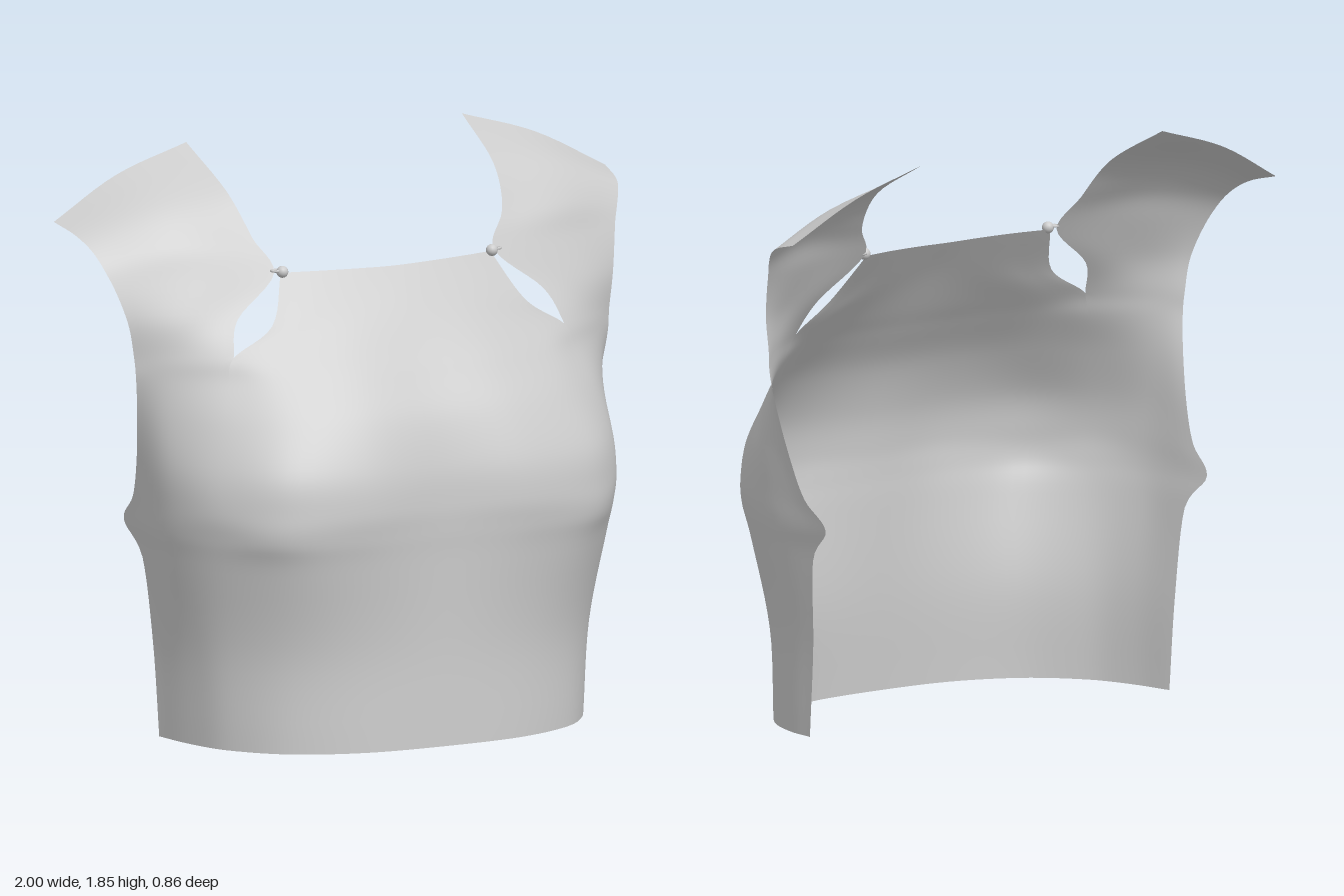
import * as THREE from 'three';
import { mergeGeometries, mergeVertices } from 'three/addons/utils/BufferGeometryUtils.js';

const V = (x, y, z) => new THREE.Vector3(x, y, z);
const STEPS = 6; // subdivisions between neighbouring rows or columns

// Torso half-sections: height, then x,z pairs from the centre to the side edge
const BODY = [
  [0.00, 0, .40, .28, .38, .50, .29, .63, .15, .695, 0, .715, -.12],
  [0.30, 0, .39, .28, .375, .50, .295, .65, .15, .715, 0, .735, -.16],
  [0.58, 0, .395, .28, .405, .52, .35, .69, .19, .765, 0, .77, -.20],
  [0.69, 0, .40, .30, .42, .55, .37, .70, .22, .785, .01, .79, -.285],
  [0.78, 0, .40, .30, .425, .55, .37, .71, .22, .79, .03, .805, -.20],
  [0.90, 0, .385, .30, .405, .55, .345, .71, .19, .795, .02, .82, -.15],
  [1.05, 0, .335, .28, .34, .50, .28, .67, .15, .785, 0, .84, -.11],
  [1.17, 0, .26, .26, .26, .48, .20, .63, .105, .77, -.01, .855, -.09],
  [1.25, 0, .205, .25, .20, .46, .145, .60, .085, .76, -.015, .862, -.092],
];

// Neckline rows between the keyholes (x, y, z from the centre outward)
const NECK = [
  [[0, 1.37, .125], [.18, 1.365, .12], [.33, 1.355, .105], [.46, 1.34, .085]],
  [[0, 1.485, .04], [.13, 1.487, .035], [.26, 1.489, .02], [.38, 1.49, -.003]],
];

// Shoulder strap rows (x, y, z from the neck side to the armhole side)
const STRAP = [
  [[.555, 1.36, .03], [.73, 1.36, -.025], [.88, 1.36, -.10]],
  [[.40, 1.49, -.01], [.66, 1.50, -.065], [.912, 1.48, -.145]],
  [[.455, 1.60, -.085], [.70, 1.60, -.125], [.945, 1.56, -.20]],
  [[.485, 1.73, -.20], [.73, 1.70, -.235], [.98, 1.615, -.28]],
  [[.50, 1.85, -.43], [.76, 1.77, -.42], [1.0, 1.645, -.395]],
];

const curve = (points) => new THREE.CatmullRomCurve3(points, false, 'catmullrom', 0.5);
const mirror = (half) => [...half.slice(1).reverse().map((p) => V(-p.x, p.y, p.z)), ...half];
const vectors = (row) => row.map((p) => V(...p));

function sample(points, from = 0, to = 1, count = points.length - 1) {
  const c = curve(points), n = count * STEPS;
  return Array.from({ length: n + 1 }, (_, i) => c.getPoint(from + (to - from) * i / n));
}

// Slight lean of the garment and the longer right side flap
function settle(p) {
  const q = p.clone();
  if (p.x < -0.5 && p.y < 0.58) {
    q.z -= 0.07 * (1 - p.y / 0.58) * THREE.MathUtils.smoothstep(-p.z, -0.1, 0.12);
  }
  q.x -= 0.018 * (1 - THREE.MathUtils.smoothstep(p.y, 1.5, 1.64));
  return q;
}

// Smooth patch through sampled rows, columns running left to right
function patch(rows) {
  const width = rows[0].length;
  const columns = rows[0].map((_, i) => sample(rows.map((r) => r[i])));
  const height = columns[0].length;
  const positions = [], index = [];
  for (let j = 0; j < height; j++) {
    for (let i = 0; i < width; i++) {
      positions.push(...settle(columns[i][j]).toArray());
      if (i < width - 1 && j < height - 1) {
        const a = j * width + i, b = a + 1, c = a + width, d = c + 1;
        index.push(a, b, d, a, d, c);
      }
    }
  }
  const g = new THREE.BufferGeometry();
  g.setAttribute('position', new THREE.Float32BufferAttribute(positions, 3));
  g.setIndex(index);
  return g;
}

export function createModel() {
  const group = new THREE.Group();
  const cloth = new THREE.MeshStandardMaterial({ color: 0xcccccc, side: THREE.DoubleSide });
  const metal = new THREE.MeshStandardMaterial({ color: 0xcccccc });

  const body = BODY.map(([y, ...s]) =>
    mirror(Array.from({ length: 6 }, (_, i) => V(s[2 * i], y, s[2 * i + 1]))));

  // Front panel, up to the neckline
  const front = patch([
    ...body.map((r) => sample(r, 0.2, 0.8, 6)),
    ...NECK.map((r) => sample(mirror(vectors(r)))),
  ]);

  // Side panels that run on into the shoulder straps, open at the keyholes
  const left = patch([
    ...body.map((r) => sample(r, 0.8, 1, 2)),
    ...STRAP.map((r) => sample(vectors(r))),
  ]);
  const right = patch([
    ...body.map((r) => sample(r, 0, 0.2, 2)),
    ...STRAP.map((r) => sample(vectors(r).reverse().map((p) => V(-p.x, p.y, p.z)))),
  ]);

  const shell = mergeVertices(mergeGeometries([front, left, right]), 0.002);
  shell.computeVertexNormals();
  const top = new THREE.Mesh(shell, cloth);
  top.name = 'bodiceWithStraps';
  group.add(top);

  // Bead and small loop closing each keyhole
  for (const side of [-1, 1]) {
    const clasp = new THREE.Group();
    clasp.name = side > 0 ? 'leftClasp' : 'rightClasp';
    const bead = new THREE.Mesh(new THREE.SphereGeometry(0.019, 16, 12), metal);
    bead.name = 'bead';
    const loop = new THREE.Mesh(new THREE.TorusGeometry(0.014, 0.004, 8, 16), metal);
    loop.name = 'loop';
    loop.position.set(side * 0.02, 0.004, -0.008);
    loop.rotation.x = Math.PI / 2;
    clasp.add(bead, loop);
    clasp.position.set(side * 0.38 - 0.018, 1.495, 0.008);
    group.add(clasp);
  }
  return group;
}
